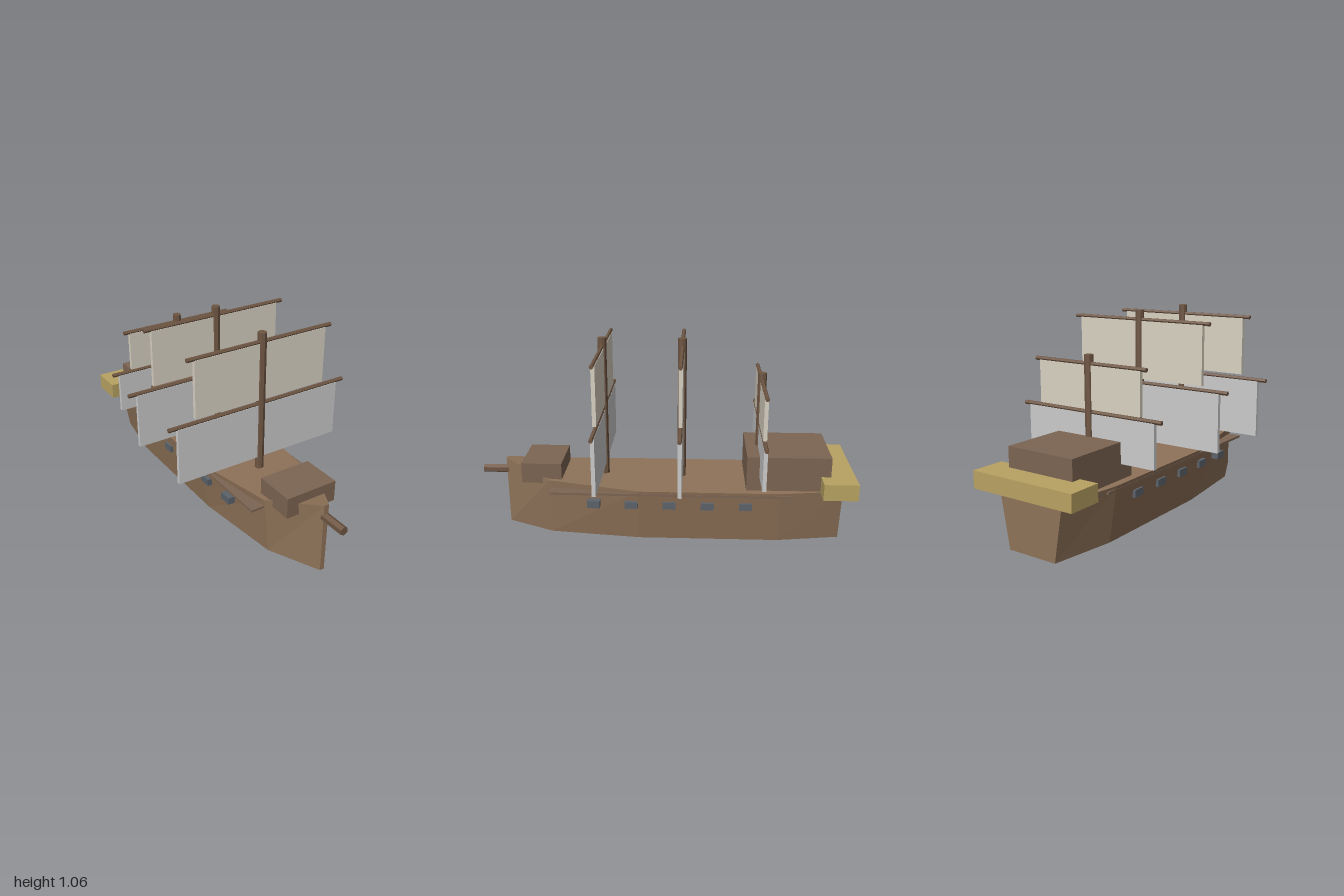
import * as THREE from 'three';

const paint = (color) => new THREE.MeshStandardMaterial({ color, flatShading: true });
const wood = paint(0x8f7359), darkWood = paint(0x7d6552), spar = paint(0x6f5643);
const gold = paint(0xb8a262), iron = paint(0x5c636b);
const canvas = paint(0xd8d2c2), greyCanvas = paint(0xcccccc);

// Hull cross-sections from bow to stern: z, half width at keel, half width at deck, deck height
const STATIONS = [
  [0.87, 0.012, 0.014, 0.38],
  [0.61, 0.135, 0.165, 0.315],
  [0.13, 0.19, 0.235, 0.29],
  [-0.61, 0.19, 0.235, 0.29],
  [-0.94, 0.138, 0.188, 0.29],
];

function hullGeometry() {
  const pos = [], index = [];
  for (const [z, low, high, top] of STATIONS) {
    pos.push(-low, 0, z, low, 0, z, high, top, z, -high, top, z);
  }
  const quad = (a, b, c, d) => index.push(a, b, c, a, c, d);
  for (let s = 0; s < STATIONS.length - 1; s++) {
    for (let k = 0; k < 4; k++) {
      const a = s * 4 + k, b = s * 4 + ((k + 1) % 4);
      quad(a, a + 4, b + 4, b);
    }
  }
  const e = (STATIONS.length - 1) * 4;
  quad(0, 1, 2, 3);                  // stem
  quad(e + 3, e + 2, e + 1, e);      // transom
  const geo = new THREE.BufferGeometry();
  geo.setAttribute('position', new THREE.Float32BufferAttribute(pos, 3));
  geo.setIndex(index);
  geo.computeVertexNormals();
  return geo;
}

function add(parent, name, geometry, material, x = 0, y = 0, z = 0) {
  const mesh = new THREE.Mesh(geometry, material);
  mesh.name = name;
  mesh.position.set(x, y, z);
  parent.add(mesh);
  return mesh;
}

// Box given by its half width, y range and z range, centred on x = 0
function addBlock(parent, name, material, half, y0, y1, z0, z1) {
  const geo = new THREE.BoxGeometry(half * 2, y1 - y0, z1 - z0);
  return add(parent, name, geo, material, 0, (y0 + y1) / 2, (z0 + z1) / 2);
}

// Mast with sails; each sail is [half width, bottom, top, yard half width, material]
function addMast(parent, name, z, top, sails) {
  const group = new THREE.Group();
  group.name = name;
  group.position.z = z;
  parent.add(group);
  const foot = 0.27;
  add(group, 'mast', new THREE.CylinderGeometry(0.023, 0.023, top - foot, 8), spar, 0, (top + foot) / 2, 0);
  for (const [half, y0, y1, yardHalf, material] of sails) {
    addBlock(group, 'sail', material, half, y0, y1, -0.01, 0.01);
    const yard = add(group, 'yard', new THREE.CylinderGeometry(0.011, 0.011, yardHalf * 2, 6), spar, 0, y1 + 0.006, 0);
    yard.rotation.z = Math.PI / 2;
  }
}

export function createModel() {
  const ship = new THREE.Group();
  ship.name = 'sailingShip';

  // Hull and superstructure
  add(ship, 'hull', hullGeometry(), wood);
  addBlock(ship, 'deckRail', darkWood, 0.234, 0.263, 0.275, -0.67, 0.6);
  addBlock(ship, 'forecastle', darkWood, 0.143, 0.29, 0.4, 0.545, 0.76);
  addBlock(ship, 'sternCastle', darkWood, 0.193, 0.285, 0.475, -0.872, -0.435);
  addBlock(ship, 'sternGallery', gold, 0.295, 0.285, 0.372, -1, -0.822);

  // Bowsprit
  const bowsprit = add(ship, 'bowsprit', new THREE.CylinderGeometry(0.023, 0.023, 0.3, 6), spar, 0, 0.312, 0.85);
  bowsprit.rotation.x = Math.PI / 2;

  // Gun ports along both sides
  for (const side of [-1, 1]) {
    for (let i = 0; i < 5; i++) {
      add(ship, 'gunPort', new THREE.BoxGeometry(0.04, 0.038, 0.068), iron, side * 0.218, 0.21, 0.367 - i * 0.2);
    }
  }

  // Masts, yards and sails
  const mainSails = [
    [0.479, 0.367, 0.668, 0.525, greyCanvas],
    [0.382, 0.697, 1.0, 0.42, canvas],
  ];
  const mizzenSails = [
    [0.383, 0.367, 0.588, 0.42, greyCanvas],
    [0.306, 0.608, 0.824, 0.336, canvas],
  ];
  addMast(ship, 'foreMast', 0.327, 1.055, mainSails);
  addMast(ship, 'mainMast', -0.092, 1.055, mainSails);
  addMast(ship, 'mizzenMast', -0.511, 0.875, mizzenSails);
  return ship;
}
